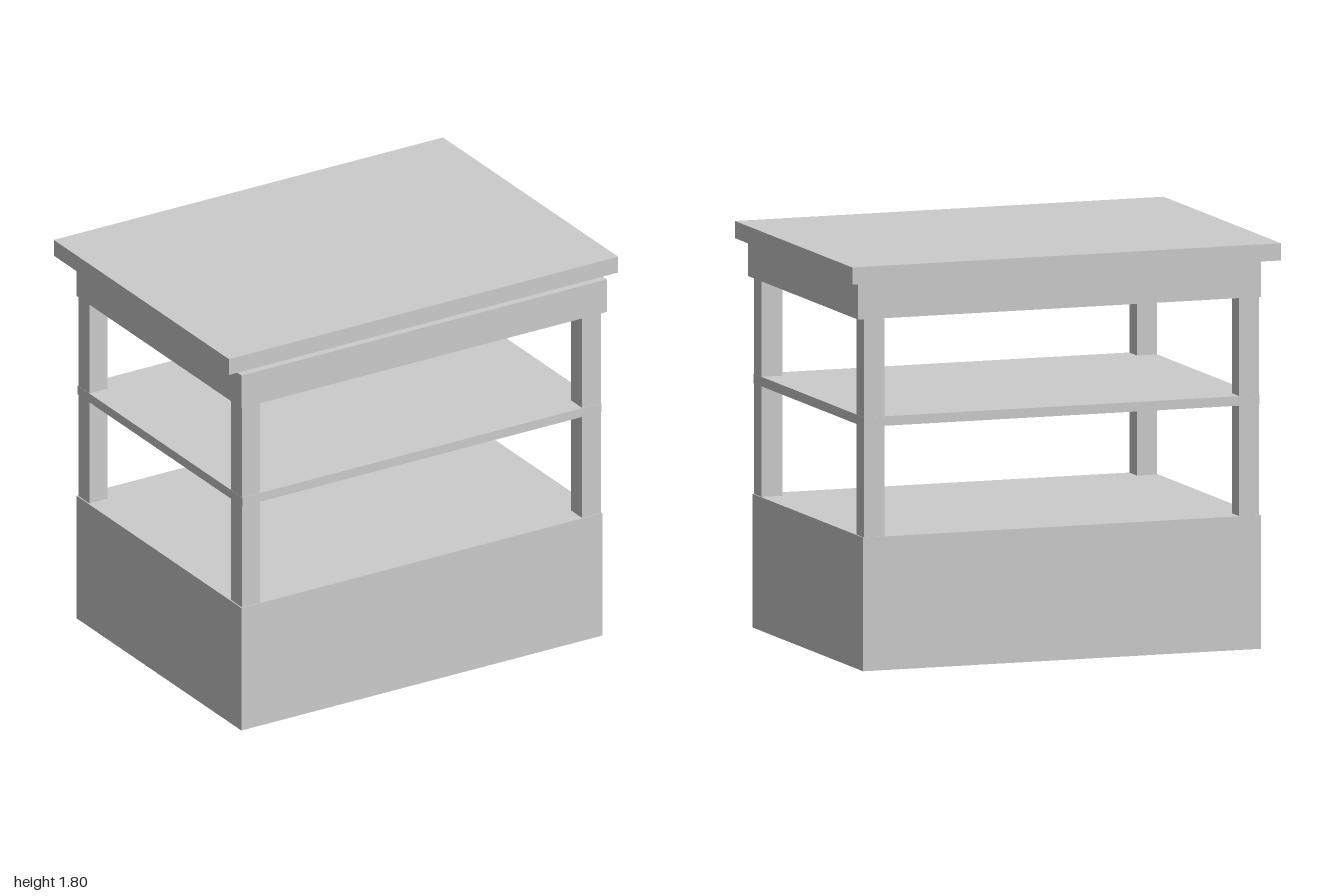
import * as THREE from 'three';

const material = new THREE.MeshStandardMaterial({ color: 0xcccccc, flatShading: true });

// Box given by its [min, max] extent on each axis
function block(name, [x0, x1], [y0, y1], [z0, z1]) {
  const mesh = new THREE.Mesh(new THREE.BoxGeometry(x1 - x0, y1 - y0, z1 - z0), material);
  mesh.name = name;
  mesh.position.set((x0 + x1) / 2, (y0 + y1) / 2, (z0 + z1) / 2);
  return mesh;
}

export function createModel() {
  const stall = new THREE.Group();
  stall.name = 'marketStall';

  // Solid counter, thin shelf, header slab and the roof floating just above it
  stall.add(
    block('counterBase', [-0.941, 0.914], [0, 0.59], [-0.633, 0.729]),
    block('shelf', [-0.936, 0.91], [1.078, 1.12], [-0.632, 0.728]),
    block('header', [-0.941, 0.937], [1.553, 1.71], [-0.633, 0.729]),
    block('roof', [-1, 1], [1.724, 1.8], [-0.727, 0.721])
  );

  // Four corner posts between counter and header
  const xs = { right: [-0.935, -0.842], left: [0.812, 0.909] };
  const zs = { Front: [0.632, 0.725], Back: [-0.629, -0.537] };
  for (const [side, x] of Object.entries(xs)) {
    for (const [end, z] of Object.entries(zs)) {
      stall.add(block(`${side}${end}Post`, x, [0.59, 1.553], z));
    }
  }
  return stall;
}
